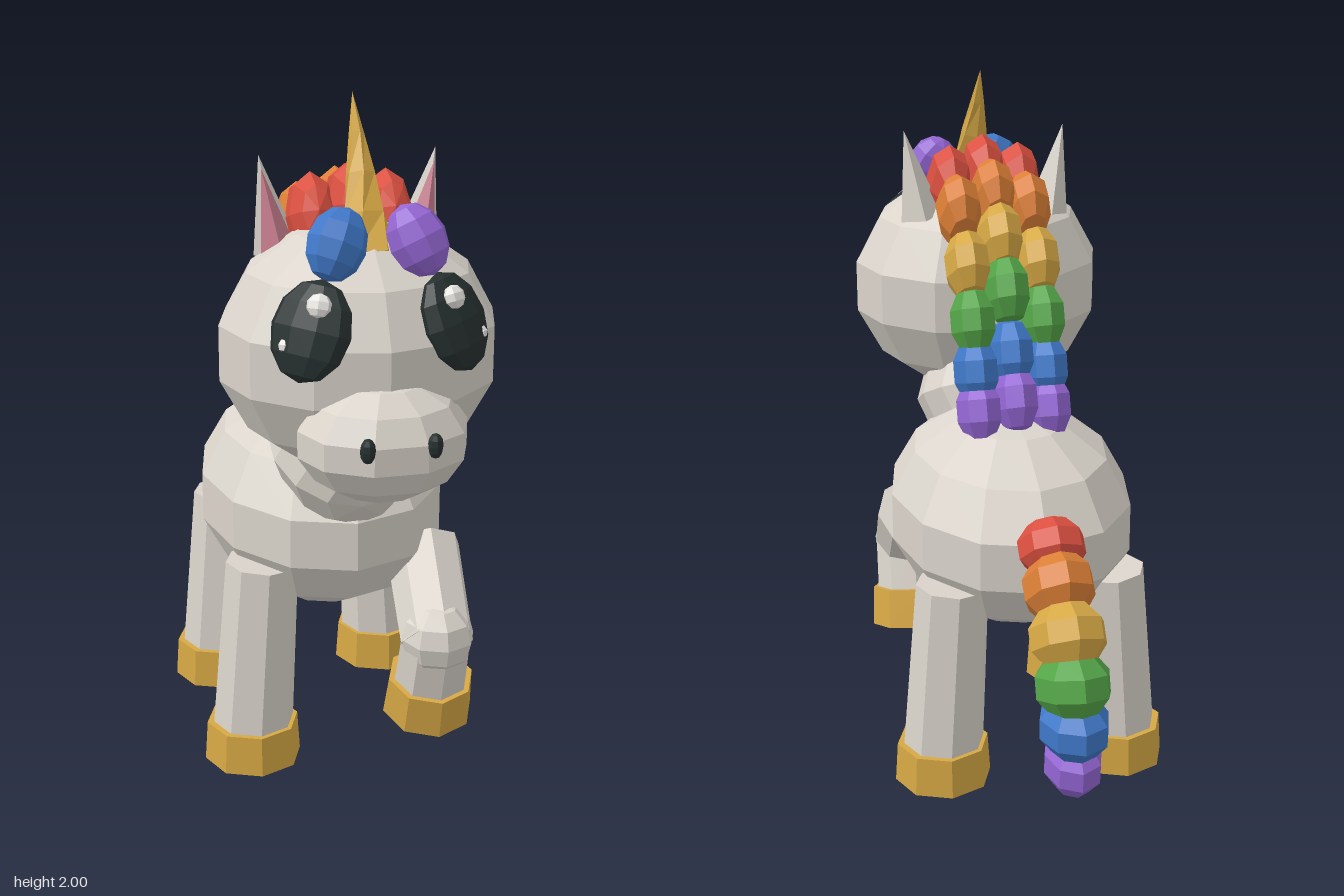
import * as THREE from 'three';

const paint = (name, color) => {
  const m = new THREE.MeshStandardMaterial({ color });
  m.name = name;
  return m;
};

// Split the faces so every facet is flat
const facet = (geo) => {
  const g = geo.toNonIndexed();
  g.computeVertexNormals();
  return g;
};

export function createModel() {
  const coat = paint('coat', 0xdad4cb);
  const gold = paint('gold', 0xd6a845);
  const red = paint('red', 0xdb5040);
  const orange = paint('orange', 0xdb7f36);
  const green = paint('green', 0x54a548);
  const blue = paint('blue', 0x3f78c8);
  const purple = paint('purple', 0x9466d4);
  const black = paint('black', 0x26302f);
  const pink = paint('pink', 0xca8091);
  const white = paint('white', 0xf2f0ec);
  const rainbow = [red, orange, gold, green, blue, purple];

  const model = new THREE.Group();
  model.name = 'unicorn';
  const V = (p) => new THREE.Vector3(...p);

  const add = (name, geo, mat, parent = model) => {
    const mesh = new THREE.Mesh(facet(geo), mat);
    mesh.name = name;
    parent.add(mesh);
    return mesh;
  };

  // Faceted ellipsoid
  const blob = (name, mat, pos, radii, rot = [0, 0, 0], w = 8, h = 6, parent = model) => {
    const geo = new THREE.SphereGeometry(1, w, h).scale(...radii);
    const mesh = add(name, geo, mat, parent);
    mesh.position.set(...pos);
    mesh.rotation.set(rot[0], rot[1], rot[2], 'YXZ');
    return mesh;
  };

  // Geometry running from one point to another along its own y axis
  const span = (name, mat, a, b, make, parent = model) => {
    const from = V(a), to = V(b);
    const dir = to.clone().sub(from);
    const mesh = add(name, make(dir.length()), mat, parent);
    mesh.position.copy(from).add(to).multiplyScalar(0.5);
    mesh.quaternion.setFromUnitVectors(new THREE.Vector3(0, 1, 0), dir.normalize());
    return mesh;
  };
  const rod = (rTop, rBottom) => (len) => new THREE.CylinderGeometry(rTop, rBottom, len, 8);

  // Body, neck, head and muzzle
  blob('body', coat, [0, 0.735, -0.01], [0.37, 0.325, 0.49], [0, 0, 0], 12, 7);
  blob('neck', coat, [0, 1.0, 0.3], [0.22, 0.25, 0.25], [2.07, 0, 0], 8, 7);
  blob('head', coat, [0, 1.33, 0.445], [0.392, 0.348, 0.35], [0, 0, 0], 12, 7);
  blob('muzzle', coat, [0, 1.155, 0.715], [0.235, 0.165, 0.195], [0, 0, 0], 10, 7);

  for (const s of [1, -1]) {
    const side = s > 0 ? 'left' : 'right';
    blob(side + 'Nostril', black, [0.088 * s, 1.19, 0.893], [0.021, 0.034, 0.021]);

    // Eye with two glints
    blob(side + 'Eye', black, [0.19 * s, 1.455, 0.705], [0.112, 0.135, 0.055],
      [-0.38, 0.63 * s, 0.1 * s], 10, 6);
    blob(side + 'LargeGlint', white, [0.177 * s, 1.53, 0.738], [0.035, 0.032, 0.025],
      [-0.38, 0.63 * s, 0], 7, 5);
    blob(side + 'SmallGlint', white, [0.262 * s, 1.425, 0.713], [0.016, 0.018, 0.015],
      [-0.38, 0.63 * s, 0], 6, 4);

    // Ear with a pink front
    const ear = new THREE.Group();
    ear.name = side + 'Ear';
    model.add(ear);
    const cone = (rx, rz) => (len) => new THREE.ConeGeometry(1, len, 4).scale(rx, 1, rz);
    span('outerEar', coat, [0.195 * s, 1.57, 0.315], [0.245 * s, 1.835, 0.325], cone(0.065, 0.065), ear);
    span('innerEar', pink, [0.195 * s, 1.57, 0.345], [0.24 * s, 1.8, 0.335], cone(0.05, 0.05), ear);
  }

  // Twisted horn
  span('horn', gold, [0, 1.6, 0.55], [0, 2.0, 0.37], (len) => {
    const geo = new THREE.ConeGeometry(0.08, len, 6, 4);
    const p = geo.attributes.position;
    for (let i = 0; i < p.count; i++) {
      const v = new THREE.Vector3().fromBufferAttribute(p, i);
      v.applyAxisAngle(new THREE.Vector3(0, 1, 0), (v.y / len) * 1.2);
      p.setXYZ(i, v.x, v.y, v.z);
    }
    return geo;
  });

  // Forelock
  blob('forelockRight', blue, [-0.107, 1.66, 0.64], [0.08, 0.1, 0.07], [-0.35, 0, -0.4]);
  blob('forelockLeft', purple, [0.107, 1.66, 0.64], [0.08, 0.1, 0.07], [-0.35, 0, 0.4]);

  // Rows of tufts squashed along a path of [y, z] points
  const tufts = (name, path, x, radii) => {
    const group = new THREE.Group();
    group.name = name;
    model.add(group);
    path.forEach(([y, z], i) => {
      const a = path[Math.max(i - 1, 0)];
      const b = path[Math.min(i + 1, path.length - 1)];
      const tilt = Math.atan2(b[1] - a[1], b[0] - a[0]);
      blob('tuft', rainbow[i], [x, y, z], radii[i] || radii[0], [tilt, 0, 0], 8, 5, group);
    });
  };

  // Mane in three columns
  const tuft = [[0.07, 0.105, 0.122]];
  tufts('maneMiddle',
    [[1.69, 0.35], [1.65, 0.21], [1.545, 0.11], [1.41, 0.02], [1.235, -0.035], [1.11, -0.09]], 0, tuft);
  const maneSide = [[1.665, 0.34], [1.61, 0.2], [1.475, 0.08], [1.325, 0.01], [1.185, -0.03], [1.075, -0.07]];
  tufts('maneLeft', maneSide, 0.105, tuft);
  tufts('maneRight', maneSide, -0.105, tuft);

  // Tail
  tufts('tail',
    [[0.825, -0.525], [0.74, -0.605], [0.64, -0.705], [0.525, -0.765], [0.41, -0.785], [0.295, -0.775]], 0,
    [[0.1, 0.085, 0.11], [0.105, 0.1, 0.14], [0.112, 0.1, 0.14],
      [0.11, 0.1, 0.14], [0.102, 0.095, 0.13], [0.085, 0.095, 0.115]]);

  // Standing legs
  for (const [name, s, z] of [['frontRightLeg', -1, 0.265], ['backRightLeg', -1, -0.29], ['backLeftLeg', 1, -0.29]]) {
    const leg = new THREE.Group();
    leg.name = name;
    model.add(leg);
    span('shank', coat, [0.27 * s, 0.06, z], [0.235 * s, 0.63, z], rod(0.108, 0.122), leg);
    span('hoof', gold, [0.27 * s, 0, z], [0.27 * s, 0.12, z], rod(0.137, 0.145), leg);
  }

  // Raised front left leg
  const raised = new THREE.Group();
  raised.name = 'frontLeftLeg';
  model.add(raised);
  span('upperLeg', coat, [0.23, 0.43, 0.5], [0.25, 0.63, 0.265], rod(0.113, 0.108), raised);
  blob('knee', coat, [0.232, 0.445, 0.495], [0.108, 0.108, 0.108], [0, 0, 0], 8, 6, raised);
  span('lowerLeg', coat, [0.232, 0.23, 0.42], [0.232, 0.46, 0.49], rod(0.105, 0.112), raised);
  span('hoof', gold, [0.232, 0.17, 0.405], [0.232, 0.29, 0.436], rod(0.127, 0.135), raised);

  return model;
}
